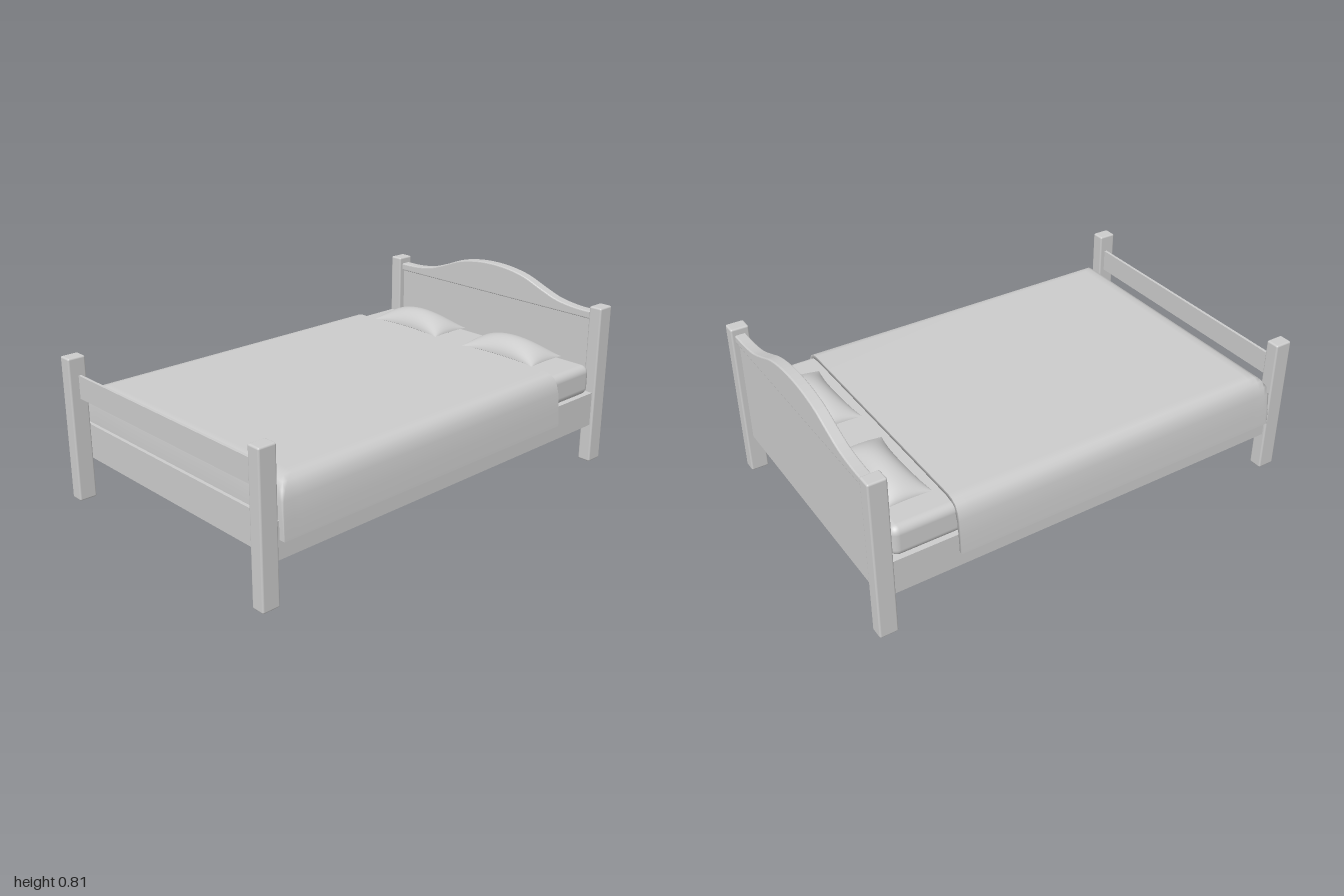
import * as THREE from 'three';
import { mergeGeometries, mergeVertices } from 'three/addons/utils/BufferGeometryUtils.js';
import { RoundedBoxGeometry } from 'three/addons/geometries/RoundedBoxGeometry.js';

const grey = new THREE.MeshStandardMaterial({ color: 0xcccccc });
const cloth = new THREE.MeshStandardMaterial({ color: 0xcccccc, side: THREE.DoubleSide });

export function createModel() {
  const bed = new THREE.Group();
  bed.name = 'bed';

  const add = (name, geometry, material = grey) => {
    const mesh = new THREE.Mesh(geometry, material);
    mesh.name = name;
    bed.add(mesh);
    return mesh;
  };
  // Box given by its limits on each axis
  const block = (name, [x0, x1], [y0, y1], [z0, z1], radius = 0) => {
    const size = [x1 - x0, y1 - y0, z1 - z0];
    const geometry = radius
      ? new RoundedBoxGeometry(...size, 4, radius)
      : new THREE.BoxGeometry(...size);
    add(name, geometry).position.set((x0 + x1) / 2, (y0 + y1) / 2, (z0 + z1) / 2);
  };

  // Corner posts
  for (const [side, s] of [['left', 1], ['right', -1]]) {
    const x = s > 0 ? [0.583, 0.645] : [-0.645, -0.583];
    block(`${side}FootPost`, x, [0, 0.64], [0.92, 1], 0.008);
    block(`${side}HeadPost`, x, [0, 0.73], [-1, -0.92], 0.008);
  }

  // Frame, foot rail and headboard panel
  block('bedFrame', [-0.632, 0.632], [0.18, 0.335], [-0.922, 0.922]);
  block('footRail', [-0.59, 0.59], [0.458, 0.56], [0.945, 0.958]);
  block('headboardPanel', [-0.59, 0.59], [0.18, 0.67], [-0.972, -0.95]);

  // Arched cap on the headboard
  const arch = [[0.59, 0.7], [0.49, 0.702], [0.39, 0.716], [0.3, 0.746], [0.2, 0.784], [0.1, 0.804]];
  const crest = [...arch, [0, 0.81], ...arch.map(([x, y]) => [-x, y]).reverse()];
  const bevel = 0.006;
  const capShape = new THREE.Shape();
  capShape.moveTo(-0.59, 0.665 + bevel);
  capShape.lineTo(0.59, 0.665 + bevel);
  capShape.lineTo(0.59, 0.7 - bevel);
  capShape.splineThru(crest.slice(1).map(([x, y]) => new THREE.Vector2(x, y - bevel)));
  const cap = new THREE.ExtrudeGeometry(capShape, {
    depth: 0.036, bevelEnabled: true, bevelThickness: bevel, bevelSize: bevel, bevelSegments: 3, curveSegments: 32,
  });
  add('headboardCap', cap).position.z = -0.979;

  block('mattress', [-0.622, 0.622], [0.33, 0.468], [-0.91, 0.9], 0.035);

  add('blanket', blanketGeometry(), cloth);

  // Pillows
  for (const [name, x] of [['leftPillow', 0.27], ['rightPillow', -0.307]]) {
    add(name, pillowGeometry(), cloth).position.set(x, 0.478, -0.782);
  }
  return bed;
}

// Draped cross-sections, turned in at the head edge and folded down at the foot
function blanketGeometry() {
  const half = [[0.66, 0.26], [0.656, 0.34], [0.648, 0.41], [0.638, 0.445], [0.622, 0.47],
    [0.6, 0.484], [0.57, 0.49], [0.3, 0.49]];
  const profile = [...half, [0, 0.49], ...half.map(([x, y]) => [-x, y]).reverse()];
  // z, highest y, inset of the section
  const stations = [
    [-0.58, 0.49, 0.016], [-0.645, 0.49, 0.016], [-0.645, 0.49, 0], [-0.645, 0.49, 0], [-0.6, 0.49, 0],
    [0.4, 0.49, 0], [0.82, 0.49, 0], [0.855, 0.486, 0], [0.88, 0.474, 0], [0.896, 0.45, 0],
    [0.904, 0.41, 0], [0.907, 0.33, 0], [0.907, 0.26, 0],
  ];
  const positions = [];
  const index = [];
  const n = profile.length;
  stations.forEach(([z, top, inset], i) => {
    profile.forEach(([x, y], j) => {
      const lift = y > 0.3 ? inset : 0;
      positions.push(x - Math.sign(x) * inset, Math.min(y - lift, top), z);
      if (i && j) {
        const d = i * n + j;
        const c = d - 1, b = d - n, a = b - 1;
        index.push(a, c, b, b, c, d);
      }
    });
  });
  const geometry = new THREE.BufferGeometry();
  geometry.setAttribute('position', new THREE.Float32BufferAttribute(positions, 3));
  geometry.setIndex(index);
  geometry.computeVertexNormals();
  return geometry;
}

// Two bulging sheets meeting at a seam with pinched long sides
function pillowGeometry() {
  const sheet = (height, flip) => {
    const g = new THREE.PlaneGeometry(2, 2, 24, 16).rotateX(flip ? Math.PI / 2 : -Math.PI / 2);
    const p = g.attributes.position;
    for (let i = 0; i < p.count; i++) {
      const u = Math.sin(p.getX(i) * Math.PI / 2);
      const v = Math.sin(p.getZ(i) * Math.PI / 2);
      const a = Math.max(0, 1 - u * u), b = Math.max(0, 1 - v * v);
      p.setXYZ(i, 0.204 * u * (1 - 0.03 * b), height * Math.pow(a, 0.6) * Math.pow(b, 0.6), 0.106 * v * (1 - 0.2 * a));
    }
    g.deleteAttribute('uv');
    g.computeVertexNormals();
    return g;
  };
  return mergeVertices(mergeGeometries([sheet(0.073, false), sheet(-0.012, true)]));
}
